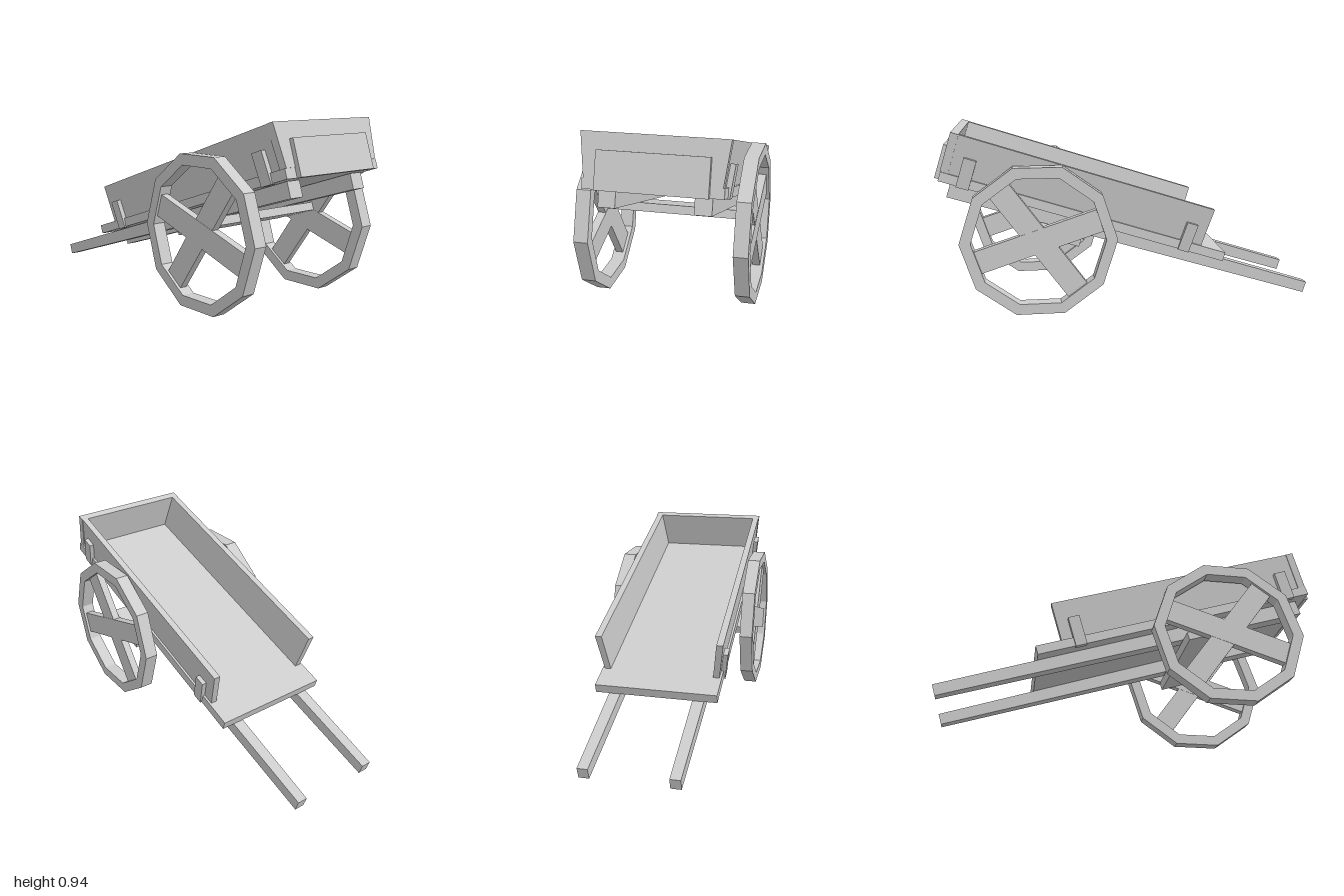
import * as THREE from 'three';

const TILT = 0.31; // slope of the bed, nose up
const mat = new THREE.MeshStandardMaterial({ color: 0xcccccc, flatShading: true });

function add(parent, name, geometry) {
  const mesh = new THREE.Mesh(geometry, mat);
  mesh.name = name;
  parent.add(mesh);
  return mesh;
}

// Box given by its min and max on each axis
function slab(x0, x1, y0, y1, z0, z1) {
  return new THREE.BoxGeometry(x1 - x0, y1 - y0, z1 - z0)
    .translate((x0 + x1) / 2, (y0 + y1) / 2, (z0 + z1) / 2);
}

// Cross-section in x/y, extruded from z0 to z1
function prism(points, z0, z1) {
  const shape = new THREE.Shape(points.map(([x, y]) => new THREE.Vector2(x, y)));
  return new THREE.ExtrudeGeometry(shape, { depth: z1 - z0, bevelEnabled: false }).translate(0, 0, z0);
}

// Handle shaft, slimmer towards the grip
function shaftGeometry(x) {
  const g = new THREE.BoxGeometry(1, 1, 1);
  const p = g.attributes.position;
  for (let i = 0; i < p.count; i++) {
    const front = p.getZ(i) > 0;
    const bottom = front ? 0.283 : 0.302;
    p.setXYZ(i, x + p.getX(i) * (front ? 0.08 : 0.053), p.getY(i) > 0 ? 0.362 : bottom, front ? 1.083 : -0.934);
  }
  g.computeVertexNormals();
  return g;
}

// Ten-sided rim with two crossing planks as spokes
function createWheel(name) {
  const wheel = new THREE.Group();
  wheel.name = name;
  const ring = (r) => Array.from({ length: 10 }, (_, i) =>
    new THREE.Vector2(r * Math.cos(i * Math.PI / 5), r * Math.sin(i * Math.PI / 5)));
  const shape = new THREE.Shape(ring(0.4));
  shape.holes.push(new THREE.Path(ring(0.342)));
  add(wheel, 'rim', new THREE.ExtrudeGeometry(shape, { depth: 0.07, bevelEnabled: false }).translate(0, 0, -0.035));
  [18, 126].forEach((deg, i) => {
    const spoke = add(wheel, 'spoke', new THREE.BoxGeometry(0.68, 0.12, 0.042 - i * 0.003));
    spoke.rotation.z = THREE.MathUtils.degToRad(deg);
  });
  wheel.rotation.y = Math.PI / 2;
  return wheel;
}

export function createModel() {
  const cart = new THREE.Group();
  cart.name = 'handcart';

  // Sloping bed
  const bed = new THREE.Group();
  bed.name = 'bed';
  bed.rotation.x = -TILT;
  cart.add(bed);

  add(bed, 'floor', slab(-0.32, 0.32, 0.364, 0.412, -0.403, 1.142));
  add(bed, 'frontBoard', prism([[-0.313, 0.412], [0.313, 0.412], [0.338, 0.62], [-0.338, 0.62]], 1.104, 1.145));
  add(bed, 'frontPlank', slab(-0.256, 0.256, 0.362, 0.54, 1.142, 1.167));
  add(bed, 'axle', slab(-0.36, 0.36, 0.241, 0.284, 0.37, 0.65));

  for (const s of [1, -1]) {
    const side = s > 0 ? 'left' : 'right';
    // Outward-leaning side board
    add(bed, side + 'SideBoard',
      prism([[s * 0.275, 0.412], [s * 0.308, 0.412], [s * 0.335, 0.62], [s * 0.3, 0.62]], -0.265, 1.104));
    // Cleats holding the side board
    for (const [z0, z1] of [[-0.205, -0.145], [0.985, 1.05]]) {
      add(bed, side + 'Cleat',
        prism([[s * 0.3, 0.36], [s * 0.327, 0.36], [s * 0.346, 0.517], [s * 0.32, 0.517]], z0, z1));
    }
    add(bed, side + 'Shaft', shaftGeometry(s * 0.22));

    const wheel = createWheel(side + 'Wheel');
    wheel.position.set(s * 0.378, 0.386, 0.481);
    cart.add(wheel);
  }

  // Slight turn of the whole cart
  cart.rotation.y = 0.0095;
  const model = new THREE.Group();
  model.name = 'model';
  model.add(cart);
  return model;
}
